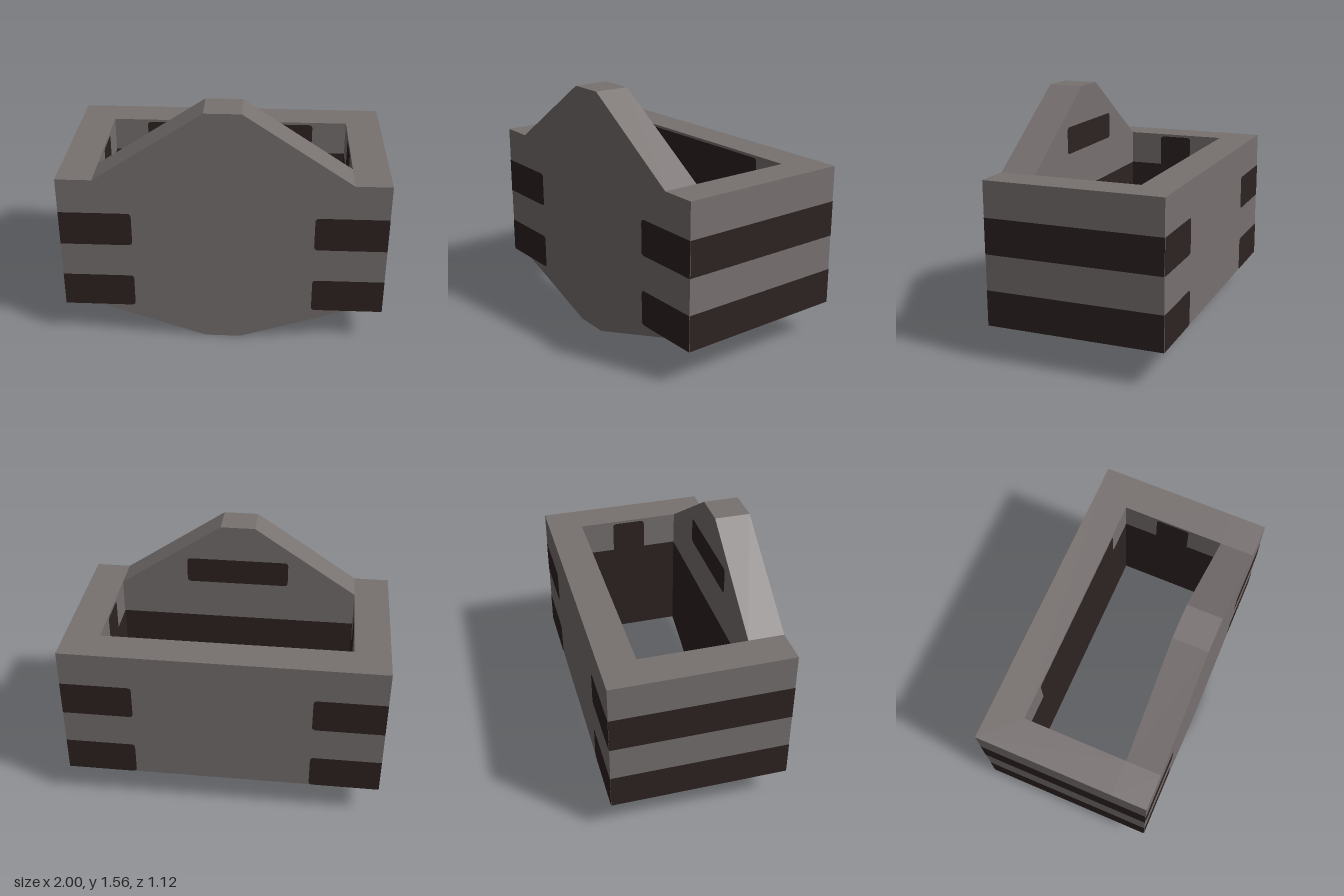
import * as THREE from 'three';

const U = 2 / 9;              // design grid unit
const W = 1, D = 2.5 * U;     // half width, half depth
const IW = W - U, ID = D - U; // inner half width, half depth
const Y0 = U, Y1 = 5 * U;     // bottom and top of the box walls
const E = 0.002;              // lift of painted plates

const shapeOf = (pts) => new THREE.Shape(pts.map((p) => new THREE.Vector2(p[0], p[1])));

// Rectangle with one radius per corner: bottom left, bottom right, top right, top left
function plate(x0, x1, y0, y1, [bl, br, tr, tl] = [0, 0, 0, 0]) {
  const s = new THREE.Shape();
  s.moveTo(x0 + bl, y0);
  s.lineTo(x1 - br, y0);
  if (br) s.quadraticCurveTo(x1, y0, x1, y0 + br);
  s.lineTo(x1, y1 - tr);
  if (tr) s.quadraticCurveTo(x1, y1, x1 - tr, y1);
  s.lineTo(x0 + tl, y1);
  if (tl) s.quadraticCurveTo(x0, y1, x0, y1 - tl);
  s.lineTo(x0, y0 + bl);
  if (bl) s.quadraticCurveTo(x0, y0, x0 + bl, y0);
  return s;
}

export function createModel() {
  const group = new THREE.Group();
  const grey = new THREE.MeshStandardMaterial({ name: 'warm grey', color: 0x777170 });
  const dark = new THREE.MeshStandardMaterial({ name: 'dark brown', color: 0x2d2322 });

  const add = (name, geometry, material) => {
    const mesh = new THREE.Mesh(geometry, material);
    mesh.name = name;
    group.add(mesh);
    return mesh;
  };
  // Flat painted area, turned about y and placed on a wall
  const paint = (name, shape, x, z, turn) => {
    const mesh = add(name, new THREE.ShapeGeometry(shape, 4), dark);
    mesh.position.set(x, 0, z);
    mesh.rotation.y = turn;
    return mesh;
  };

  // Front plate with peaked top and bottom
  const front = shapeOf([
    [-W, Y0], [-IW, Y0], [-U / 2, 0], [U / 2, 0], [IW, Y0], [W, Y0],
    [W, Y1], [IW, Y1], [U / 2, 7 * U], [-U / 2, 7 * U], [-IW, Y1], [-W, Y1],
  ]);
  add('frontPlate', new THREE.ExtrudeGeometry(front, { depth: U, bevelEnabled: false }), grey)
    .position.z = ID;

  // Side and back walls: a U seen from above, open towards the front plate
  const walls = shapeOf([
    [-W, -ID], [-IW, -ID], [-IW, ID], [IW, ID], [IW, -ID], [W, -ID], [W, D], [-W, D],
  ]);
  const wallGeo = new THREE.ExtrudeGeometry(walls, { depth: Y1 - Y0, bevelEnabled: false });
  wallGeo.rotateX(-Math.PI / 2);
  add('sideAndBackWalls', wallGeo, grey).position.y = Y0;

  // Two stripes wrapping the sides, ending in short tabs on front and back
  const r = 0.025;
  for (const y of [U, 3 * U]) {
    for (const side of [-1, 1]) {
      paint('sideStripe', plate(-D, D, y, y + U), side * (W + E), 0, side * Math.PI / 2);
      const tab = side > 0
        ? plate(2.5 * U, W, y, y + U, [r, 0, 0, r])
        : plate(-W, -2.5 * U, y, y + U, [0, r, r, 0]);
      paint('frontStripeEnd', tab, 0, D + E, 0);
      paint('backStripeEnd', tab, 0, -D - E, Math.PI);
    }
  }

  // Dark lining inside the box
  const top = 4 * U, round = [0, 0, r, r];
  paint('frontLining', shapeOf([
    [-IW, top], [-IW, Y0], [-U / 2, 0], [U / 2, 0], [IW, Y0], [IW, top],
  ]), 0, ID - E, Math.PI);
  paint('frontInnerPatch', plate(-1.5 * U, 1.5 * U, 1.15, 1.32, [r, r, r, r]), 0, ID - E, Math.PI);
  paint('backLining', plate(-IW, IW, Y0, top), 0, -ID + E, 0);
  paint('backLiningTab', plate(-2.5 * U, 2.5 * U, top, 1.095, round), 0, -ID + E, 0);
  for (const side of [-1, 1]) {
    const x = side * (IW - E), turn = -side * Math.PI / 2;
    paint('sideLining', plate(-ID, ID, Y0, top), x, 0, turn);
    paint('sideLiningTab', plate(-U / 2, U / 2, top, 1.095, round), x, 0, turn);
  }

  // Dark patch under the back wall
  const under = add('underPatch',
    new THREE.ShapeGeometry(plate(-U / 2, U / 2, -0.54, -ID, [r, r, 0, 0]), 4), dark);
  under.rotation.x = Math.PI / 2;
  under.position.y = Y0 - E;

  return group;
}
